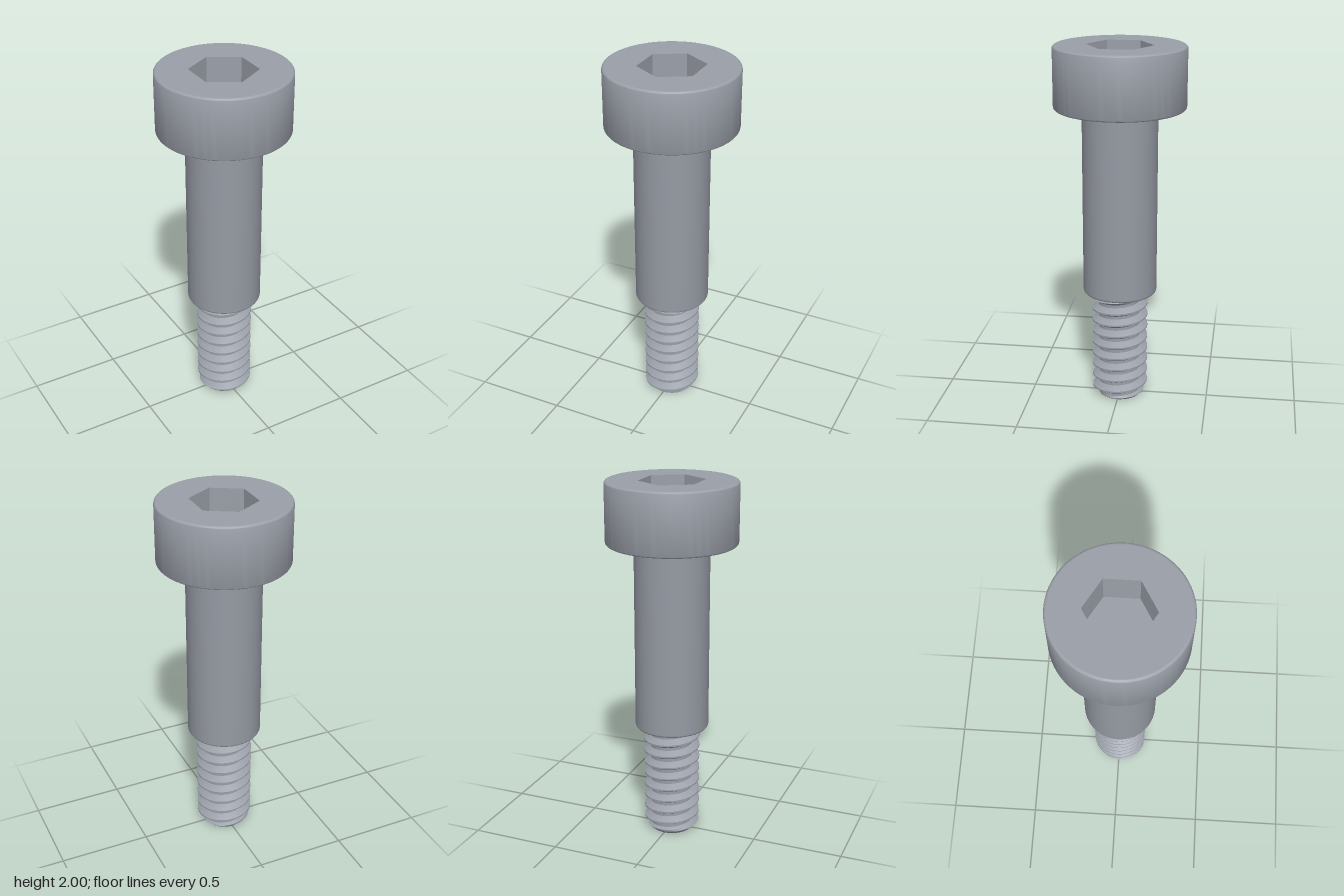
import * as THREE from 'three';
import { toCreasedNormals } from 'three/addons/utils/BufferGeometryUtils.js';

const SEG = 96;
const HEAD_R = 0.355, HEAD_TOP = 2, HEAD_BOTTOM = 1.665;
const SHOULDER_R = 0.204, SHOULDER_BOTTOM = 0.627;
const CREST_R = 0.155, ROOT_R = 0.118, PITCH = 0.068;
const HEX_R = 0.18, HEX_DEPTH = 0.2;

// Points of a rounded corner, from angle a0 to a1 about a centre
function arc(cx, cy, r, a0, a1, n = 5) {
  return Array.from({ length: n + 1 }, (_, i) => {
    const a = a0 + (a1 - a0) * i / n;
    return new THREE.Vector2(cx + r * Math.cos(a), cy + r * Math.sin(a));
  });
}

function lathe(points, crease = 0.6) {
  return toCreasedNormals(new THREE.LatheGeometry(points, SEG), crease);
}

// Helical ridge: every profile corner follows the helix, trimmed to the thread length
function threadGeometry() {
  const profile = [[0, 1], [0.0625, 1], [0.22, 0.5], [0.375, 0], [0.625, 0], [0.78, 0.5], [0.9375, 1]];
  const top = SHOULDER_BOTTOM + 0.003, phase = 0.572 - PITCH / 2;
  const firstTurn = -11, turns = 15;
  const point = (row, col) => {
    const turn = Math.floor(row / profile.length);
    const [f, h] = profile[row % profile.length];
    const raw = phase + (firstTurn + turn + f + col / SEG) * PITCH;
    const y = THREE.MathUtils.clamp(raw, 0, top);
    const limit = Math.min(ROOT_R + y, ROOT_R + (top - y));
    const r = Math.min(ROOT_R + (CREST_R - ROOT_R) * h, limit);
    const a = col / SEG * Math.PI * 2;
    return new THREE.Vector3(r * Math.cos(a), y, -r * Math.sin(a));
  };
  const positions = [];
  const addTriangle = (a, b, c) => {
    const area = b.clone().sub(a).cross(c.clone().sub(a)).length();
    if (area > 1e-9) for (const p of [a, b, c]) positions.push(p.x, p.y, p.z);
  };
  for (let row = 0; row < turns * profile.length; row++) {
    for (let col = 0; col < SEG; col++) {
      const a = point(row, col), b = point(row, col + 1);
      const c = point(row + 1, col + 1), d = point(row + 1, col);
      addTriangle(a, b, c);
      addTriangle(a, c, d);
    }
  }
  const geometry = new THREE.BufferGeometry();
  geometry.setAttribute('position', new THREE.Float32BufferAttribute(positions, 3));
  return toCreasedNormals(geometry, 0.5);
}

export function createModel() {
  const group = new THREE.Group();
  const steel = new THREE.MeshStandardMaterial({ color: 0x9a9fa8 });
  steel.name = 'steel';
  const add = (name, geometry) => {
    const mesh = new THREE.Mesh(geometry, steel);
    mesh.name = name;
    group.add(mesh);
    return mesh;
  };
  const HALF_PI = Math.PI / 2;

  // Cylindrical head with rounded rims
  const round = 0.015;
  add('head', lathe([
    new THREE.Vector2(0.2, HEAD_BOTTOM),
    ...arc(HEAD_R - round, HEAD_BOTTOM + round, round, -HALF_PI, 0),
    ...arc(HEAD_R - round, HEAD_TOP - round, round, 0, HALF_PI),
  ]));

  // Flat top with the hexagonal opening
  const face = new THREE.Shape().absarc(0, 0, HEAD_R - round, 0, Math.PI * 2);
  const hex = Array.from({ length: 6 }, (_, i) => {
    const a = HALF_PI + i * Math.PI / 3;
    return new THREE.Vector2(HEX_R * Math.cos(a), HEX_R * Math.sin(a));
  });
  face.holes.push(new THREE.Path(hex));
  add('headTop', new THREE.ShapeGeometry(face, SEG).rotateX(-HALF_PI).translate(0, HEAD_TOP, 0));

  // Socket walls, mirrored to face inward, and floor
  let walls = new THREE.CylinderGeometry(HEX_R, HEX_R, HEX_DEPTH, 6, 1, true).toNonIndexed();
  const pos = walls.attributes.position;
  for (let i = 0; i < pos.count; i++) pos.setX(i, -pos.getX(i));
  walls.computeVertexNormals();
  add('socketWalls', walls.translate(0, HEAD_TOP - HEX_DEPTH / 2, 0));
  add('socketFloor', new THREE.CircleGeometry(HEX_R, 6, HALF_PI)
    .rotateX(-HALF_PI).translate(0, HEAD_TOP - HEX_DEPTH, 0));

  // Smooth shoulder: rounded lower edge, fillet under the head
  const edge = 0.014, fillet = 0.018;
  add('shoulder', lathe([
    new THREE.Vector2(0.08, SHOULDER_BOTTOM),
    ...arc(SHOULDER_R - edge, SHOULDER_BOTTOM + edge, edge, -HALF_PI, 0),
    ...arc(SHOULDER_R + fillet, HEAD_BOTTOM - fillet, fillet, Math.PI, HALF_PI),
  ]));

  // Threaded end and its flat tip
  add('thread', threadGeometry());
  add('threadTip', new THREE.CircleGeometry(ROOT_R, SEG).rotateX(HALF_PI));

  return group;
}
